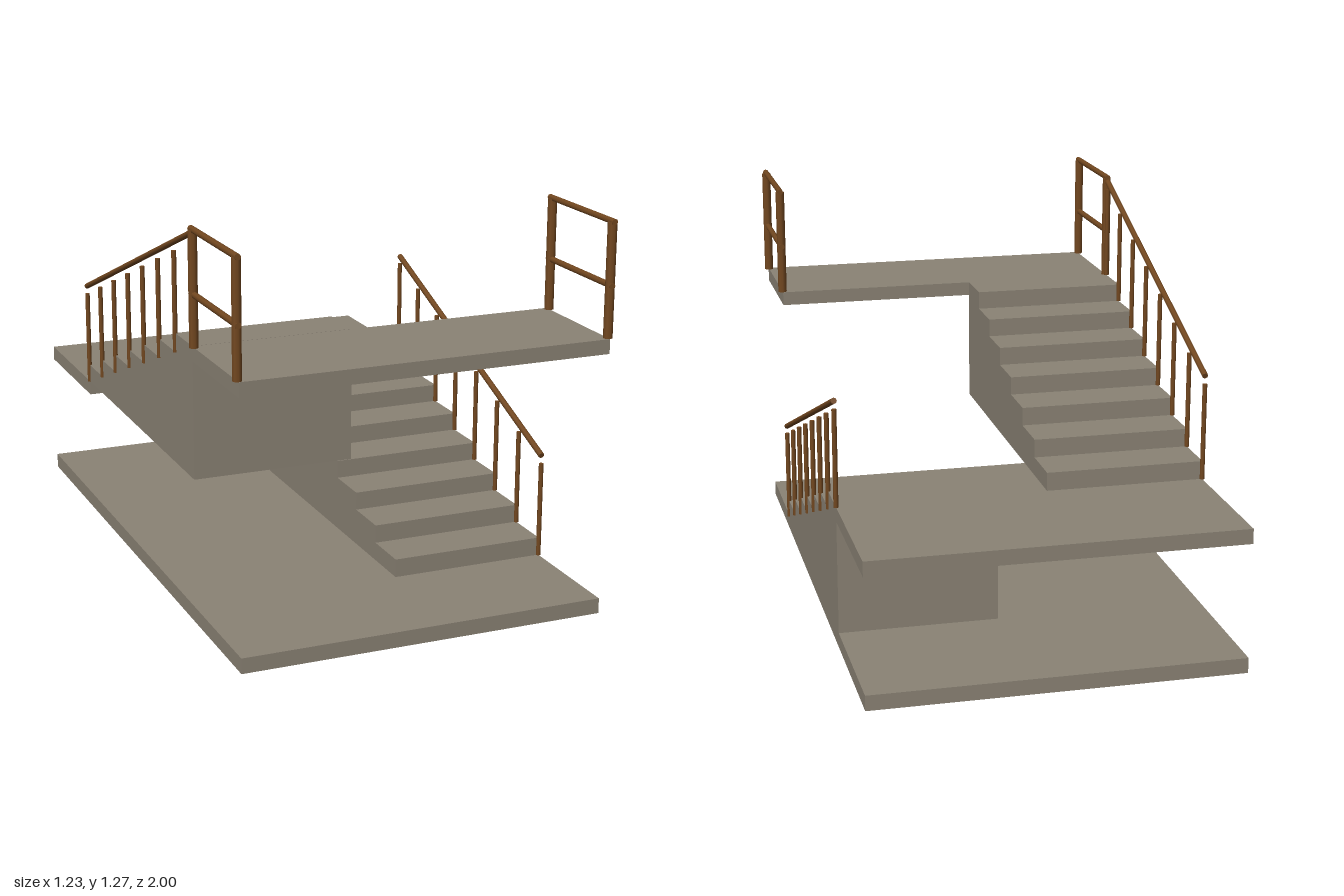
import * as THREE from 'three';

const concrete = new THREE.MeshStandardMaterial({ color: 0x8b8375 });
concrete.name = 'concrete';
const wood = new THREE.MeshStandardMaterial({ color: 0x734820 });
wood.name = 'brown wood';

const STEPS = 7, RUN = 0.16, RISE = 0.0605;
const FRONT = 0.6, BACK = -0.52; // z limits of the flights

function add(parent, name, geometry, material) {
  const mesh = new THREE.Mesh(geometry, material);
  mesh.name = name;
  parent.add(mesh);
  return mesh;
}

// Slab across the full width
function slab(parent, name, y0, y1, z0, z1) {
  add(parent, name, new THREE.BoxGeometry(1.2, y1 - y0, z1 - z0), concrete)
    .position.set(0, (y0 + y1) / 2, (z0 + z1) / 2);
}

// Round bar between two points
function bar(parent, name, a, b, radius) {
  const dir = b.clone().sub(a);
  const mesh = add(parent, name, new THREE.CylinderGeometry(radius, radius, dir.length(), 8), wood);
  mesh.position.copy(a).add(b).multiplyScalar(0.5);
  mesh.quaternion.setFromUnitVectors(new THREE.Vector3(0, 1, 0), dir.normalize());
}

// Solid flight climbing from zStart in direction dir, with balusters and handrail at railX
function flight(name, xMax, railX, y0, zStart, dir) {
  const group = new THREE.Group();
  group.name = name;

  const zEnd = zStart + dir * STEPS * RUN;
  const shape = new THREE.Shape();
  shape.moveTo(zStart, y0);
  for (let i = 0; i < STEPS; i++) {
    const y = y0 + (i + 1) * RISE;
    shape.lineTo(zStart + dir * i * RUN, y);
    shape.lineTo(zStart + dir * (i + 1) * RUN, y);
  }
  shape.lineTo(zEnd, y0);
  const geometry = new THREE.ExtrudeGeometry(shape, { depth: 0.52, bevelEnabled: false });
  geometry.rotateY(-Math.PI / 2).translate(xMax, 0, 0);
  add(group, 'steps', geometry, concrete);

  const at = (i, h) => new THREE.Vector3(railX, y0 + i * RISE + h, zStart + dir * i * RUN);
  for (let i = 0; i <= STEPS; i++) bar(group, 'baluster', at(i, 0), at(i, 0.32), 0.008);
  bar(group, 'handrail', at(0, 0.347), at(STEPS, 0.347), 0.01);
  return group;
}

// Guard rail along one side of the top landing
function guardRail(x, y) {
  const group = new THREE.Group();
  group.name = 'guardRail';
  const p = (h, z) => new THREE.Vector3(x, y + h, z);
  for (const z of [0.615, 0.985]) bar(group, 'guardPost', p(0, z), p(0.36, z), 0.015);
  bar(group, 'topRail', p(0.362, 0.6), p(0.362, 1), 0.01);
  bar(group, 'middleRail', p(0.165, 0.6), p(0.165, 1), 0.01);
  return group;
}

export function createModel() {
  const model = new THREE.Group();
  model.name = 'staircase';

  // Floors
  slab(model, 'groundSlab', 0, 0.05, -1, 1);
  slab(model, 'middleLanding', 0.425, 0.474, -1, BACK);
  slab(model, 'topLanding', 0.85, 0.897, FRONT, 1);

  // Flights
  model.add(flight('lowerFlight', 0.6, 0.6, 0.05, FRONT, -1));
  model.add(flight('upperFlight', -0.08, -0.6, 0.474, BACK, 1));

  // Top landing guards
  for (const x of [-0.6, 0.6]) model.add(guardRail(x, 0.897));

  return model;
}
